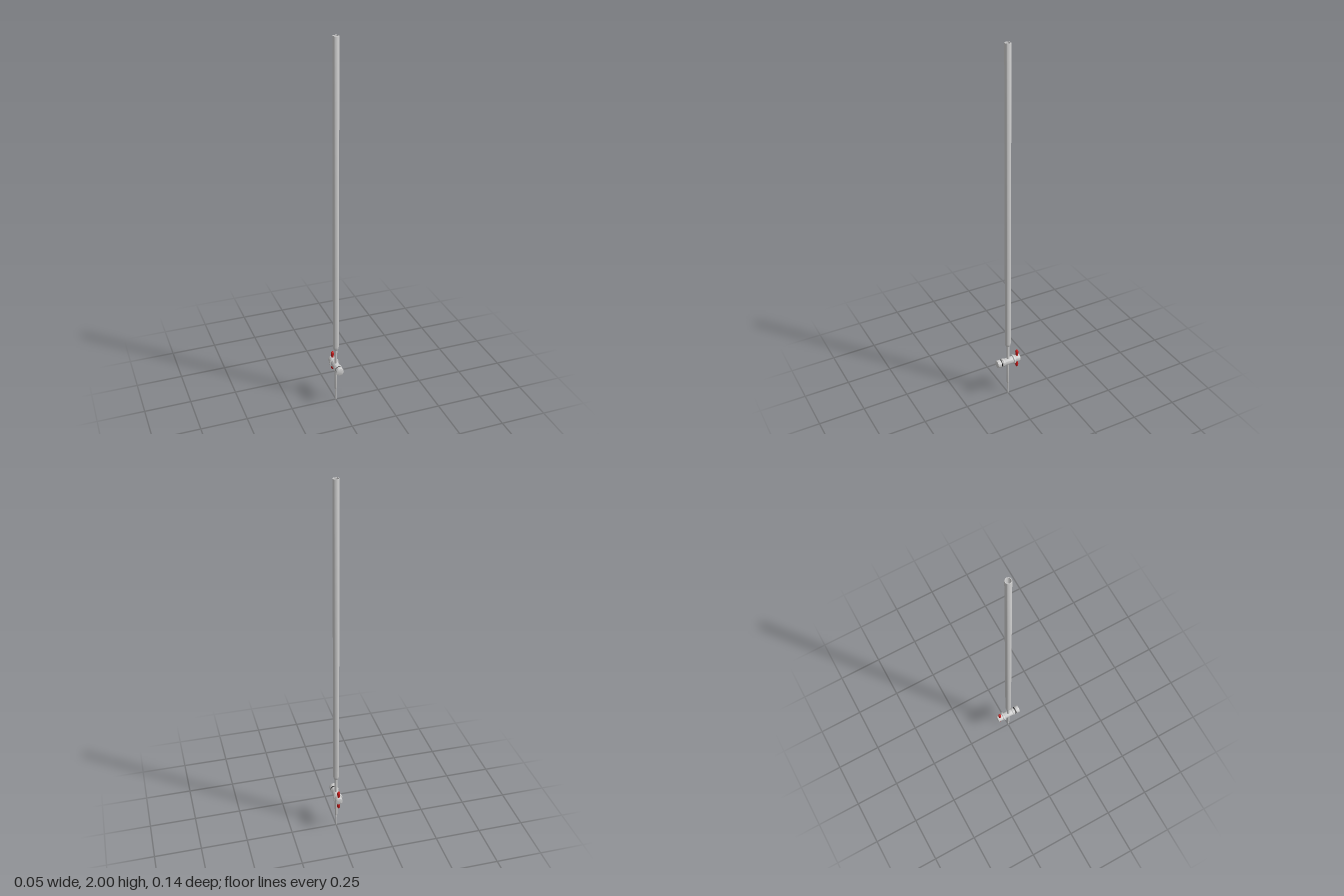
import * as THREE from 'three';
import { toCreasedNormals } from 'three/addons/utils/BufferGeometryUtils.js';

// Revolved solid; profile is [radius, height] pairs
function turned(name, profile, material, segments = 40) {
  const points = profile.map(([r, h]) => new THREE.Vector2(r, h));
  const geometry = toCreasedNormals(new THREE.LatheGeometry(points, segments), 0.6);
  const mesh = new THREE.Mesh(geometry, material);
  mesh.name = name;
  return mesh;
}

// Closed disc-like ring with chamfered edges between heights a and b
function collar(name, r, a, b, bevel, material) {
  return turned(name, [
    [0, a], [r - bevel, a], [r - bevel * 0.3, a + bevel * 0.3], [r, a + bevel],
    [r, b - bevel], [r - bevel * 0.3, b - bevel * 0.3], [r - bevel, b], [0, b],
  ], material);
}

export function createModel() {
  const group = new THREE.Group();
  const glass = new THREE.MeshStandardMaterial({ color: 0xd0d0d0, side: THREE.DoubleSide });
  glass.name = 'pale grey';
  const red = new THREE.MeshStandardMaterial({ color: 0xc81818 });
  red.name = 'red';
  const black = new THREE.MeshStandardMaterial({ color: 0x161616 });
  black.name = 'black';

  // Long hollow measuring tube with a rounded shoulder at the bottom
  group.add(turned('measuringTube', [
    [0.007, 0.318], [0.011, 0.323], [0.0145, 0.331], [0.016, 0.342],
    [0.016, 1.997], [0.0152, 2], [0.0128, 2], [0.012, 1.997],
    [0.012, 0.345], [0.009, 0.333], [0.004, 0.325], [0.004, 0.24],
  ], glass));

  // Narrow stem above the valve, outlet below it, and fine hollow tip
  group.add(turned('upperStem', [[0.0075, 0.215], [0.0075, 0.31], [0.008, 0.322]], glass));
  group.add(turned('outletStem', [
    [0.0035, 0.068], [0.006, 0.072], [0.007, 0.08], [0.0075, 0.22],
  ], glass));
  group.add(turned('dropTip', [
    [0.0015, 0.07], [0.0015, 0], [0.0028, 0], [0.0038, 0.04], [0.004, 0.07],
  ], glass, 24));

  // Stopcock: parts turned along z
  const valve = new THREE.Group();
  valve.name = 'stopcock';
  valve.position.y = 0.22;
  valve.rotation.x = Math.PI / 2;
  valve.add(
    collar('handleHub', 0.019, -0.07, -0.038, 0.002, glass),
    collar('rearFlange', 0.026, -0.039, -0.027, 0.004, glass),
    collar('valveBarrel', 0.019, -0.03, 0.028, 0.001, glass),
    collar('frontFlange', 0.0225, 0.024, 0.036, 0.004, glass),
    collar('washer', 0.018, 0.035, 0.04, 0.001, glass),
    collar('sealRing', 0.0195, 0.0395, 0.0455, 0.002, black),
    collar('lockingNut', 0.021, 0.045, 0.067, 0.002, glass),
  );
  group.add(valve);

  // Red crossbar handle through the hub, swollen towards both ends
  const half = [[0.005, 0], [0.0055, 0.02], [0.008, 0.034], [0.0085, 0.042],
    [0.0075, 0.05], [0.0045, 0.0545], [0, 0.056]];
  const lower = half.slice(1).reverse().map(([r, h]) => [r, -h]);
  const handle = turned('handle', [...lower, ...half], red, 28);
  handle.position.set(0, 0.22, -0.055);
  group.add(handle);

  return group;
}
